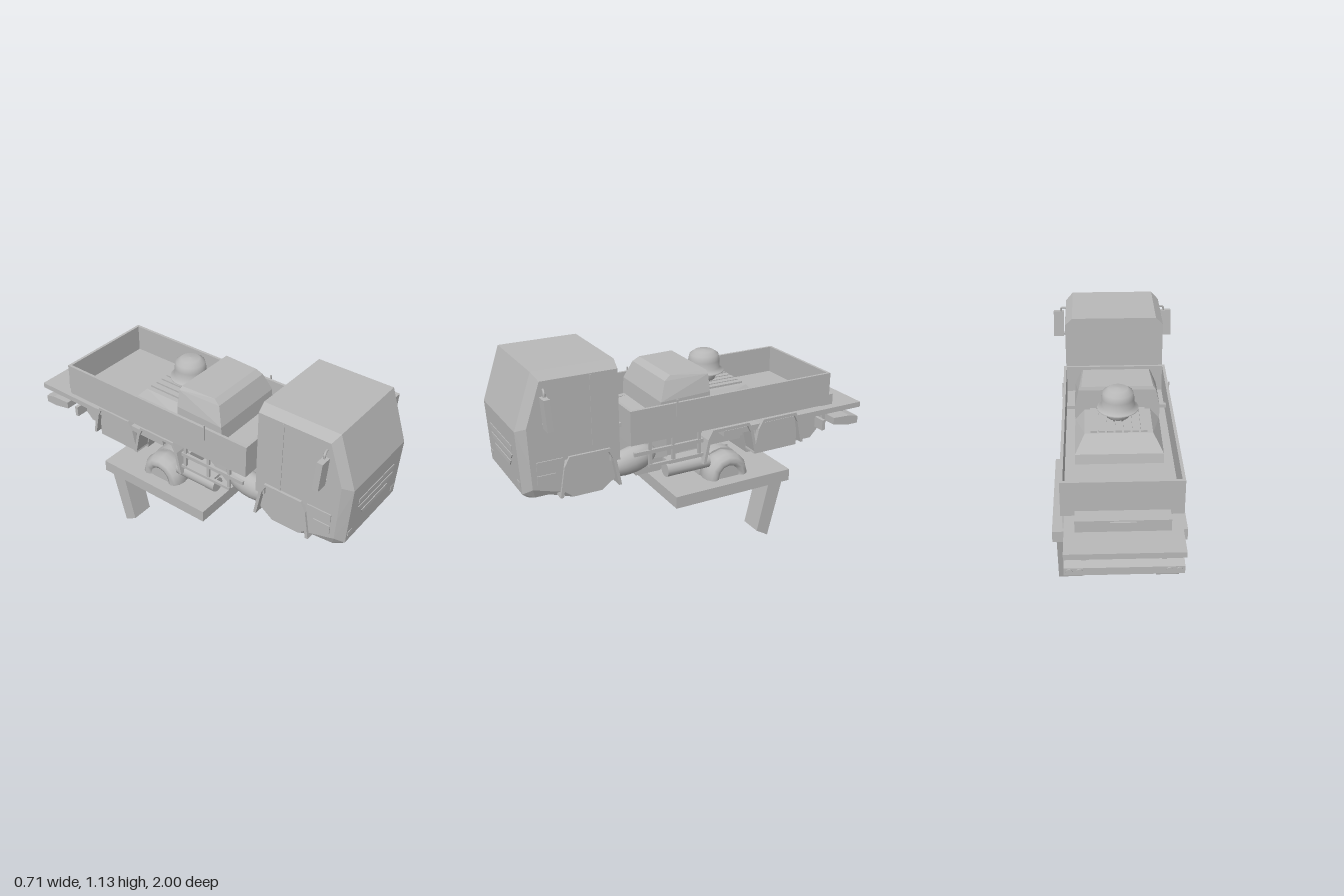
import * as THREE from 'three';
import { ConvexGeometry } from 'three/addons/geometries/ConvexGeometry.js';

export function createModel() {
  const root = new THREE.Group();
  const grey = new THREE.MeshStandardMaterial({ color: 0xb8b8b8 });
  grey.name = 'plainGrey';
  grey.side = THREE.DoubleSide;

  const add = (name, geo) => {
    const m = new THREE.Mesh(geo, grey);
    m.name = name;
    root.add(m);
    return m;
  };
  // box given by its limits
  const box = (name, x0, x1, y0, y1, z0, z1) => {
    const m = add(name, new THREE.BoxGeometry(x1 - x0, y1 - y0, z1 - z0));
    m.position.set((x0 + x1) / 2, (y0 + y1) / 2, (z0 + z1) / 2);
    return m;
  };
  const pair = (name, x0, x1, ...r) => {
    box(name + 'Left', x0, x1, ...r);
    box(name + 'Right', -x1, -x0, ...r);
  };
  // convex solid from [x, y, z] points mirrored in x
  const hull = (name, pts) => add(name, new ConvexGeometry(
    pts.flatMap(([x, y, z]) => [new THREE.Vector3(x, y, z), new THREE.Vector3(-x, y, z)])));
  // side profile of [z, y] points, extruded from x0 to x1
  const profile = (name, pts, x0, x1) => {
    const g = new THREE.ExtrudeGeometry(new THREE.Shape(pts.map(p => new THREE.Vector2(...p))),
      { depth: x1 - x0, bevelEnabled: false });
    g.rotateY(-Math.PI / 2).translate(x1, 0, 0);
    return add(name, g);
  };
  const tube = (name, pts, r) => add(name, new THREE.TubeGeometry(
    new THREE.CatmullRomCurve3(pts.map(p => new THREE.Vector3(...p))), 20, r, 10));

  // cab: upper shell, nose below it and strip behind the wheel arch
  hull('cabShell', [
    [0.275, 0.69, 0.495], [0.275, 1.095, 0.495], [0.235, 1.133, 0.495],
    [0.235, 1.133, 0.905], [0.275, 1.095, 0.88], [0.275, 0.88, 0.955],
    [0.235, 0.86, 1], [0.275, 0.69, 0.95], [0.235, 0.69, 0.992]]);
  hull('cabNose', [
    [0.275, 0.69, 0.78], [0.275, 0.69, 0.95], [0.235, 0.69, 0.992],
    [0.235, 0.54, 0.985], [0.275, 0.57, 0.945], [0.275, 0.53, 0.81],
    [0.235, 0.52, 0.96], [0.255, 0.52, 0.93], [0.255, 0.52, 0.81]]);
  box('cabRearSkirt', -0.275, 0.275, 0.63, 0.69, 0.495, 0.545);
  hull('cabUnderside', [
    [0.18, 0.69, 0.84], [0.18, 0.69, 0.5], [0.18, 0.52, 0.95], [0.18, 0.475, 0.82],
    [0.18, 0.475, 0.58], [0.18, 0.53, 0.5], [0.26, 0.69, 0.8], [0.26, 0.69, 0.52],
    [0.26, 0.53, 0.8], [0.26, 0.48, 0.74], [0.26, 0.48, 0.59], [0.26, 0.53, 0.52]]);

  // grille bars and lamps: thin plates following the nose slope
  const grille = [[0.765, 0.74, 0.165, 0.165, 0.99], [0.717, 0.692, 0.163, 0.138, 0.988], [0.67, 0.645, 0.125, 0.108, 0.986]];
  grille.forEach(([t, b, wt, wb, z], i) => {
    const s = new THREE.Shape([[-wb, b], [wb, b], [wt, t], [-wt, t]].map(p => new THREE.Vector2(...p)));
    const m = add('grilleBar' + i, new THREE.ExtrudeGeometry(s, { depth: 0.009, bevelEnabled: false }));
    m.position.z = z;
  });
  pair('headlamp', 0.19, 0.225, 0.575, 0.6, 0.981, 0.9905);
  pair('doorSeam', 0.272, 0.278, 0.69, 1.09, 0.63, 0.638);
  pair('cabStep', 0.272, 0.281, 0.66, 0.705, 0.79, 0.92);
  pair('lowerCabStep', 0.272, 0.281, 0.59, 0.635, 0.83, 0.92);

  for (const s of [1, -1]) {
    const span = (a, b) => s > 0 ? [a, b] : [-b, -a];
    // mirrors with arms
    const mirror = box('mirror', ...span(0.292, 0.353), 0.875, 1.03, 0.855, 0.885);
    mirror.rotation.set(0.06, 0, s * 0.02);
    tube('mirrorArm', [[s * 0.25, 1.05, 0.86], [s * 0.285, 1.055, 0.865], [s * 0.305, 1.05, 0.87], [s * 0.306, 1.02, 0.87]], 0.006);
    tube('lowerMirrorArm', [[s * 0.26, 0.89, 0.875], [s * 0.3, 0.89, 0.87], [s * 0.31, 0.9, 0.87]], 0.006);

    // angular mudguards: outer trapezoid minus inner one
    const guard = (za, zb, y0, y1, x0, x1) => {
      const t = 0.016, k = 0.055;
      profile('mudguard', [
        [za, y0], [za - k * 0.5, y1 - 0.05], [za - k, y1], [zb + k, y1], [zb + k * 0.5, y1 - 0.05], [zb, y0],
        [zb + t, y0], [zb + k * 0.5 + t, y1 - 0.055], [zb + k + t / 2, y1 - t],
        [za - k - t / 2, y1 - t], [za - k * 0.5 - t, y1 - 0.055], [za - t, y0]], ...span(x0, x1));
    };
    guard(0.815, 0.495, 0.5, 0.705, 0.2, 0.288);
    guard(0.03, -0.3, 0.5, 0.68, 0.2, 0.285);
    guard(-0.28, -0.6, 0.5, 0.68, 0.2, 0.285);

    // side guard frame, tank and tool box
    box('guardRail', ...span(0.265, 0.28), 0.625, 0.645, 0.03, 0.42);
    box('guardRail', ...span(0.265, 0.28), 0.55, 0.565, 0.03, 0.34);
    for (const z of [0.05, 0.2, 0.33])
      box('guardPost', ...span(0.262, 0.277), 0.55, 0.69, z - 0.008, z + 0.008);
    const tank = add('airTank', new THREE.CylinderGeometry(0.04, 0.04, 0.25, 16));
    tank.rotation.x = Math.PI / 2;
    tank.position.set(s * 0.225, 0.493, 0.1);
    box('tankMount', ...span(0.19, 0.26), 0.535, 0.55, -0.02, 0.22);
    box('toolBox', ...span(0.17, 0.26), 0.48, 0.625, -0.57, -0.3);

    // chassis rail
    box('chassisRail', ...span(0.1, 0.15), 0.55, 0.68, -0.84, 0.5);

    // rounded front fender of the carried vehicle, behind the cab
    const fender = add('innerFender', new THREE.SphereGeometry(0.1, 16, 10));
    fender.scale.set(0.6, 0.7, 1.4);
    fender.rotation.x = 0.2;
    fender.position.set(s * 0.195, 0.575, 0.4);
    const strip = box('hoodStrip', ...span(0.165, 0.195), 0.755, 0.775, 0.14, 0.49);
    strip.rotation.y = -s * 0.14;

    // wheels rising through the board
    const tyre = add('tyre', new THREE.TorusGeometry(0.086, 0.043, 12, 12));
    tyre.rotation.y = Math.PI / 2;
    tyre.scale.z = 1.6;
    tyre.position.set(s * 0.215, 0.39, -0.135);
    const hub = add('hub', new THREE.CylinderGeometry(0.07, 0.07, 0.11, 10));
    hub.rotation.z = Math.PI / 2;
    hub.position.set(s * 0.215, 0.39, -0.135);
    const inner = add('innerWheel', new THREE.CylinderGeometry(0.128, 0.128, 0.06, 16));
    inner.rotation.z = Math.PI / 2;
    inner.position.set(s * 0.145, 0.39, -0.135);

    // leaning stool legs
    profile('leg', [[-0.29, 0.042], [-0.36, 0], [-0.445, 0.33], [-0.36, 0.34]], ...span(0.2, 0.325));

    // rounded limbs under the board, behind the axle block
    tube('underLimb', [[s * 0.05, 0.31, -0.2], [s * 0.08, 0.285, -0.26], [s * 0.11, 0.265, -0.33], [s * 0.1, 0.285, -0.4], [s * 0.08, 0.33, -0.42]], 0.03);

    // tail lamps and rear brackets
    for (const x of [0.2, 0.245]) {
      const lamp = add('tailLamp', new THREE.CylinderGeometry(0.015, 0.015, 0.012, 12));
      lamp.rotation.x = Math.PI / 2;
      lamp.position.set(s * x, 0.552, -0.99);
    }
    box('rearBracket', ...span(0.17, 0.19), 0.54, 0.625, -0.95, -0.8);
    box('sideLampPlate', ...span(0.2, 0.27), 0.53, 0.59, -0.76, -0.74);
    box('sideHook', ...span(0.284, 0.29), 0.8, 0.89, 0.181, 0.189);
  }

  // cargo bed
  box('bedFloor', -0.28, 0.28, 0.69, 0.72, -0.755, 0.435);
  pair('bedSide', 0.27, 0.285, 0.69, 0.87, -0.76, 0.44);
  box('bedTailgate', -0.275, 0.275, 0.69, 0.87, -0.76, -0.745);
  box('bedFront', -0.275, 0.275, 0.69, 0.87, 0.425, 0.44);

  // rear deck, tail box and underride bar
  box('rearDeck', -0.275, 0.27, 0.625, 0.655, -1, -0.1);
  box('tailBox', -0.22, 0.22, 0.655, 0.715, -0.84, -0.76);
  box('tailHandle', -0.06, 0.06, 0.695, 0.71, -0.85, -0.838);
  profile('underrideBar', [[-0.82, 0.59], [-0.93, 0.585], [-0.99, 0.57], [-0.99, 0.53], [-0.92, 0.53], [-0.82, 0.55]], -0.27, 0.27);

  // lower hull and front body of the carried vehicle
  profile('rearHull', [[-0.28, 0.62], [-0.31, 0.45], [-0.74, 0.45], [-0.84, 0.55], [-0.84, 0.625]], -0.165, 0.165);
  profile('midHull', [[0.46, 0.6], [0.34, 0.44], [0.2, 0.44], [0.1, 0.52], [-0.3, 0.52], [-0.3, 0.66], [0.46, 0.66]], -0.12, 0.12);
  hull('hood', [[0.14, 0.55, 0.5], [0.14, 0.75, 0.495], [0.2, 0.55, 0.2], [0.2, 0.78, 0.2]]);

  // small cab standing in the bed
  hull('innerCab', [
    [0.22, 0.72, 0.25], [0.22, 0.86, 0.24], [0.185, 0.955, 0.2], [0.175, 0.978, 0.165],
    [0.22, 0.72, -0.04], [0.22, 0.87, -0.04], [0.2, 0.96, -0.04], [0.185, 0.978, -0.035]]);
  hull('innerDeck', [
    [0.22, 0.72, -0.03], [0.22, 0.79, -0.03], [0.17, 0.85, -0.03],
    [0.22, 0.72, -0.37], [0.22, 0.77, -0.36], [0.17, 0.85, -0.29]]);
  for (let i = 0; i < 7; i++)
    box('deckSlat' + i, -0.142 + i * 0.042, -0.11 + i * 0.042, 0.845, 0.86, -0.285, -0.045);
  pair('innerMirror', 0.22, 0.265, 0.79, 0.81, 0.075, 0.095);

  // helmet with drooping brim, and head below
  const helmet = add('helmet', new THREE.LatheGeometry(
    [[0.106, 0.905], [0.106, 0.912], [0.083, 0.925], [0.084, 0.965], [0.077, 0.998], [0.05, 1.017], [0, 1.022]]
      .map(p => new THREE.Vector2(...p)), 28));
  helmet.position.z = -0.131;
  const head = add('head', new THREE.SphereGeometry(0.07, 16, 12));
  head.position.set(0, 0.9, -0.13);

  // stool board
  box('board', -0.345, 0.345, 0.32, 0.385, -0.473, 0.222);

  // parts between and below the board
  box('axleBlock', -0.115, 0.115, 0.265, 0.5, -0.22, -0.05);
  profile('curvedPan', [[-0.18, 0.32], [-0.21, 0.27], [-0.27, 0.22], [-0.36, 0.225], [-0.44, 0.27],
    [-0.43, 0.285], [-0.36, 0.245], [-0.28, 0.24], [-0.23, 0.28], [-0.2, 0.32]], -0.17, 0.17);
  tube('hook', [[-0.045, 0.22, -0.27], [-0.028, 0.192, -0.27], [0, 0.182, -0.27], [0.028, 0.192, -0.27], [0.045, 0.22, -0.27]], 0.012);
  box('rod', -0.005, 0.005, 0.2, 0.33, -0.171, -0.159);
  return root;
}
